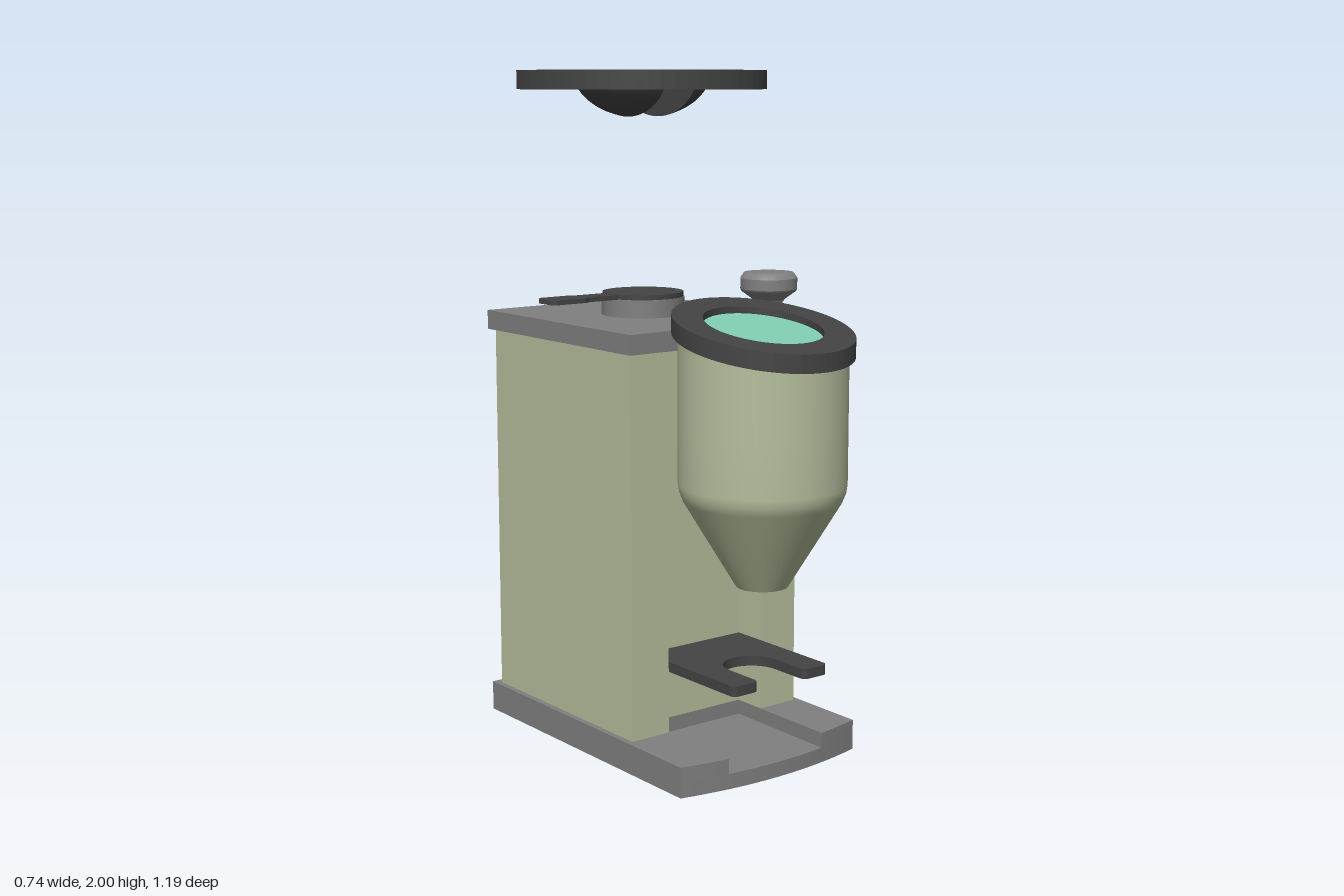
import * as THREE from 'three';

const mat = (name, color, side = THREE.FrontSide) => {
  const m = new THREE.MeshStandardMaterial({ color, side });
  m.name = name;
  return m;
};

export function createModel() {
  const model = new THREE.Group();
  const sage = mat('sage enamel', 0xb5be9c);
  const grey = mat('mid grey', 0x808080);
  const dark = mat('charcoal', 0x444444, THREE.DoubleSide);
  const mint = mat('mint glass', 0x80cdb0);

  const add = (name, geo, material, x = 0, y = 0, z = 0, parent = model) => {
    const mesh = new THREE.Mesh(geo, material);
    mesh.name = name;
    mesh.position.set(x, y, z);
    parent.add(mesh);
    return mesh;
  };
  // Plan outline given as [x, z] pairs, raised upwards by height
  const plan = (pts) => new THREE.Shape(pts.map(([x, z]) => new THREE.Vector2(x, -z)));
  const raise = (shape, height, curveSegments = 32) =>
    new THREE.ExtrudeGeometry(shape, { depth: height, bevelEnabled: false, curveSegments }).rotateX(-Math.PI / 2);
  const lathe = (pts, segments = 48) =>
    new THREE.LatheGeometry(pts.map(([r, y]) => new THREE.Vector2(r, y)), segments);
  const disc = (r) => new THREE.Path().absarc(0, 0, r, 0, Math.PI * 2);

  // Base: bowed front edge and a sunken channel in the middle
  const slot = 0.175, slotBack = 0.025;
  const frontZ = (x) => 0.38 + 0.04 * (1 - (x / 0.325) ** 2);
  const bow = (x0, x1, n) => Array.from({ length: n + 1 }, (_, i) => {
    const x = x0 + (x1 - x0) * i / n;
    return [x, frontZ(x)];
  });
  add('basePlate', raise(plan([[0.325, -0.595], [-0.325, -0.595], ...bow(-0.325, 0.325, 16)]), 0.045), grey);
  add('baseDeck', raise(plan([[0.325, -0.595], [-0.325, -0.595], ...bow(-0.325, -slot, 4),
    [-slot, slotBack], [slot, slotBack], ...bow(slot, 0.325, 4)]), 0.045), grey, 0, 0.045);

  // Housing with a tall recess in its front
  add('housing', raise(plan([[0.307, -0.57], [-0.307, -0.57], [-0.307, 0.13], [-slot, 0.13],
    [-slot, slotBack], [slot, slotBack], [slot, 0.13], [0.307, 0.13]]), 1.13), sage, 0, 0.09);
  add('housingTop', new THREE.BoxGeometry(0.645, 0.058, 0.74), grey, 0, 1.248, -0.22);

  // Fork shaped holder with a round notch
  const fork = new THREE.Shape();
  fork.moveTo(-slot, -slotBack);
  fork.lineTo(-slot, -0.41);
  fork.quadraticCurveTo(-slot, -0.43, -0.155, -0.43);
  fork.lineTo(-0.105, -0.43);
  fork.quadraticCurveTo(-0.085, -0.43, -0.085, -0.41);
  fork.lineTo(-0.085, -0.3);
  fork.absarc(0, -0.3, 0.085, Math.PI, 0, true);
  fork.lineTo(0.085, -0.41);
  fork.quadraticCurveTo(0.085, -0.43, 0.105, -0.43);
  fork.lineTo(0.155, -0.43);
  fork.quadraticCurveTo(slot, -0.43, slot, -0.41);
  fork.lineTo(slot, -slotBack);
  add('forkHolder', raise(fork, 0.03, 16), dark, 0, 0.275);

  // Hopper: funnel, slanted rim and window
  const hopper = new THREE.Group();
  hopper.name = 'hopper';
  hopper.position.z = 0.34;
  model.add(hopper);
  const slant = (geo, fromY) => {
    const p = geo.attributes.position;
    for (let i = 0; i < p.count; i++) {
      if (p.getY(i) >= fromY) p.setY(i, p.getY(i) - 0.2 * p.getZ(i));
    }
    return geo;
  };
  add('funnel', slant(lathe([[0, 0.55], [0.075, 0.55], [0.075, 0.55], [0.226, 0.8],
    [0.236, 0.825], [0.24, 0.85], [0.24, 1.0], [0.24, 1.255]]), 1.2), sage, 0, 0, 0, hopper);
  const ring = new THREE.Shape().absarc(0, 0, 0.258, 0, Math.PI * 2);
  ring.holes.push(disc(0.17));
  const rim = slant(raise(ring, 0.053), -1);
  add('hopperRim', rim, dark, 0, 1.247, 0, hopper);
  const pane = slant(new THREE.CircleGeometry(0.172, 48).rotateX(-Math.PI / 2), -1);
  pane.computeVertexNormals();
  add('hopperWindow', pane, mint, 0, 1.28, 0, hopper);

  // Round knob on a stem
  add('knob', lathe([[0.045, 0], [0.042, 0.045], [0.05, 0.055], [0.082, 0.078], [0.085, 0.085],
    [0.085, 0.085], [0.085, 0.117], [0.085, 0.117], [0.074, 0.133], [0.05, 0.135], [0, 0.135]], 32),
    grey, 0.255, 1.276, 0.06);

  // Dial with a flat lever
  add('dialBase', new THREE.CylinderGeometry(0.125, 0.125, 0.055, 40), grey, 0, 1.303, -0.225);
  add('dialCap', new THREE.CylinderGeometry(0.122, 0.122, 0.015, 40), dark, 0, 1.338, -0.225);
  add('dialLever', raise(plan([[0, -0.035], [-0.22, -0.035], [-0.24, -0.045], [-0.34, -0.045], [-0.355, -0.03],
    [-0.355, 0.03], [-0.34, 0.045], [-0.24, 0.045], [-0.22, 0.035], [0, 0.035]]), 0.014), dark, 0, 1.33, -0.225);

  // Raised lid: thin top, hollow skirt and two sunken finger bowls
  const lid = new THREE.Group();
  lid.name = 'lid';
  lid.position.set(0, 2, -0.225);
  model.add(lid);
  const R = 0.205, cut = 0.055, depth = 0.14;
  const a0 = Math.acos(cut / R);
  const top = new THREE.Shape().absarc(0, 0, 0.37, 0, Math.PI * 2);
  top.holes.push(new THREE.Path().absarc(0, 0, R, -a0, a0));
  top.holes.push(new THREE.Path().absarc(0, 0, R, Math.PI - a0, Math.PI + a0));
  add('lidTop', raise(top, 0.01), dark, 0, -0.01, 0, lid);
  const skirt = new THREE.Shape().absarc(0, 0, 0.37, 0, Math.PI * 2);
  skirt.holes.push(disc(0.355));
  add('lidSkirt', raise(skirt, 0.045), dark, 0, -0.055, 0, lid);

  // Each bowl is swept from half-ellipse sections and closed by a flat wall
  const bowl = new THREE.PlaneGeometry(1, 1, 14, 20);
  const bp = bowl.attributes.position;
  for (let i = 0; i < bp.count; i++) {
    const a = a0 * (0.5 - bp.getX(i)), t = Math.PI * (bp.getY(i) + 0.5);
    bp.setXYZ(i, R * Math.cos(a), -depth * Math.sin(a) * Math.sin(t), R * Math.sin(a) * Math.cos(t));
  }
  bowl.computeVertexNormals();
  const wall = new THREE.Shape().absellipse(0, 0, R * Math.sin(a0), depth * Math.sin(a0), Math.PI, Math.PI * 2);
  for (const s of [1, -1]) {
    const grip = new THREE.Group();
    grip.name = s > 0 ? 'leftGripBowl' : 'rightGripBowl';
    grip.rotation.y = s > 0 ? 0 : Math.PI;
    lid.add(grip);
    add('bowl', bowl, dark, 0, 0, 0, grip);
    add('bowlWall', new THREE.ShapeGeometry(wall, 20).rotateY(Math.PI / 2), dark, cut, 0, 0, grip);
  }
  return model;
}
